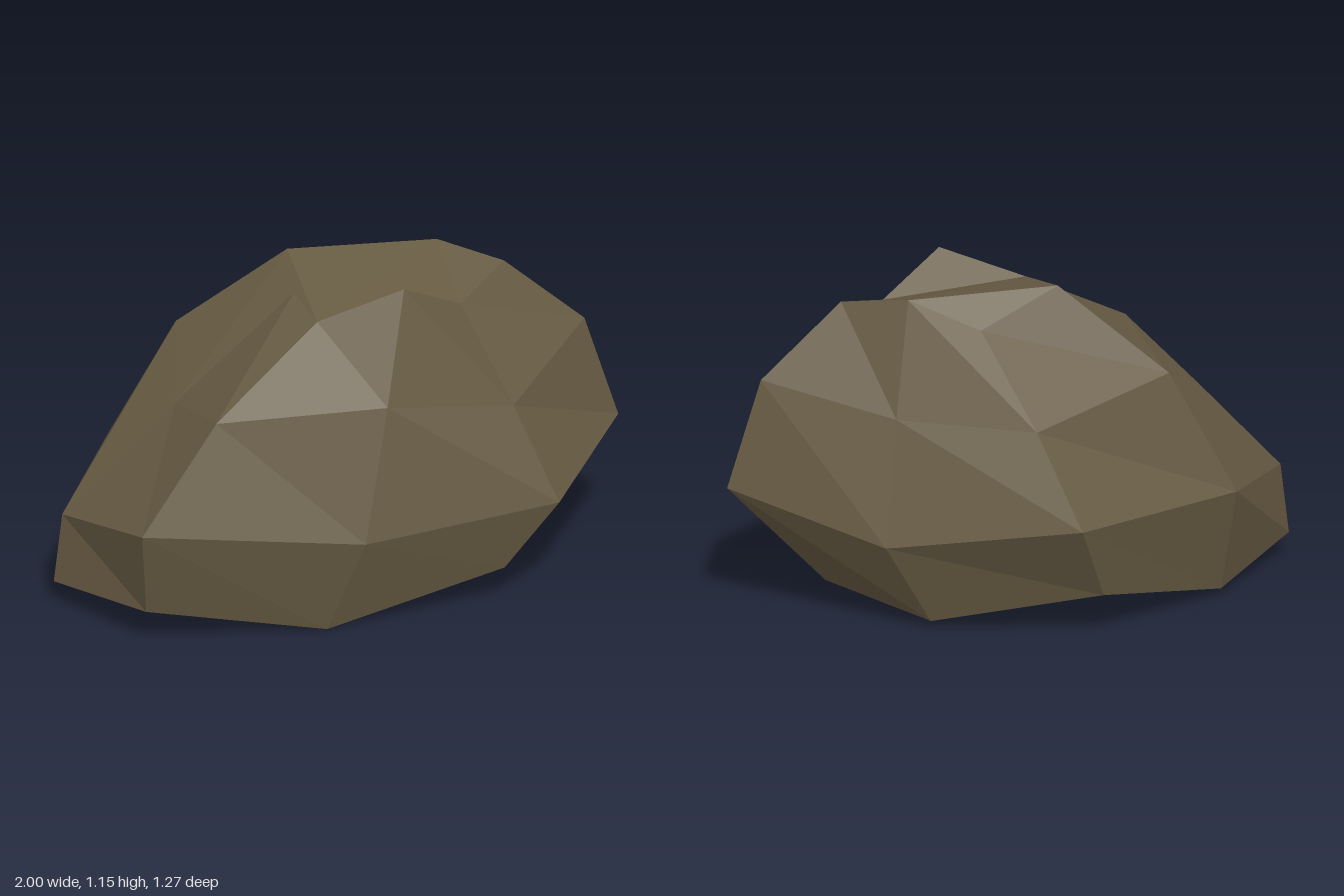
import * as THREE from 'three';

// Faceted hollow boulder: four eight-point rings, each running
// front, front-left, left, back-left, back, back-right, right, front-right.
const base = [
  [-0.16, 0, 0.54], [0.48, 0.13, 0.5], [0.65, 0.08, 0.085], [0.38, 0.025, -0.265],
  [-0.16, 0.15, -0.515], [-0.66, 0.025, -0.24], [-1, 0.08, 0.085], [-0.79, 0.13, 0.5],
];
const girth = [
  [-0.05, 0.35, 0.635], [0.66, 0.375, 0.548], [1, 0.45, 0.085], [0.55, 0.318, -0.3],
  [-0.05, 0.43, -0.635], [-0.69, 0.405, -0.33], [-0.97, 0.33, 0.085], [-0.83, 0.46, 0.592],
];
const shoulder = [
  [0.06, 0.8, 0.52], [0.54, 0.69, 0.4], [0.88, 0.83, 0.085], [0.48, 0.74, -0.19],
  [0.05, 0.73, -0.425], [-0.47, 0.835, -0.26], [-0.57, 0.7, 0.085], [-0.53, 0.79, 0.46],
];
const crown = [
  [0.17, 1.15, 0.337], [0.4, 1.018, 0.237], [0.595, 1.085, 0.085], [0.4, 1.122, -0.065],
  [0.17, 1.02, -0.16], [-0.12, 1.135, -0.105], [-0.15, 1.06, 0.085], [-0.12, 1.035, 0.273],
];

// Unshared corners give every facet its own flat normal
function facets(triangles) {
  const geometry = new THREE.BufferGeometry();
  geometry.setAttribute('position', new THREE.Float32BufferAttribute(triangles.flat(2), 3));
  geometry.computeVertexNormals();
  return geometry;
}

// Band of facets joining two rings
function band(lower, upper) {
  return lower.flatMap((p, i) => {
    const j = (i + 1) % lower.length;
    return [[p, lower[j], upper[i]], [lower[j], upper[j], upper[i]]];
  });
}

export function createModel() {
  const group = new THREE.Group();
  group.name = 'boulder';
  // The shell is open underneath, so its inside shows too
  const stone = new THREE.MeshStandardMaterial({ color: 0x665a42, side: THREE.DoubleSide });
  stone.name = 'brown stone';

  const add = (name, triangles) => {
    const mesh = new THREE.Mesh(facets(triangles), stone);
    mesh.name = name;
    group.add(mesh);
  };

  add('lowerSides', band(base, girth));
  add('middleSides', band(girth, shoulder));
  add('upperSides', band(shoulder, crown));

  // Sloping top with a raised crest at the front
  const top = [[7, 0, 1], [1, 2, 3], [3, 4, 5], [5, 6, 7], [7, 1, 3], [7, 3, 5]];
  add('top', top.map((t) => t.map((i) => crown[i])));
  return group;
}
